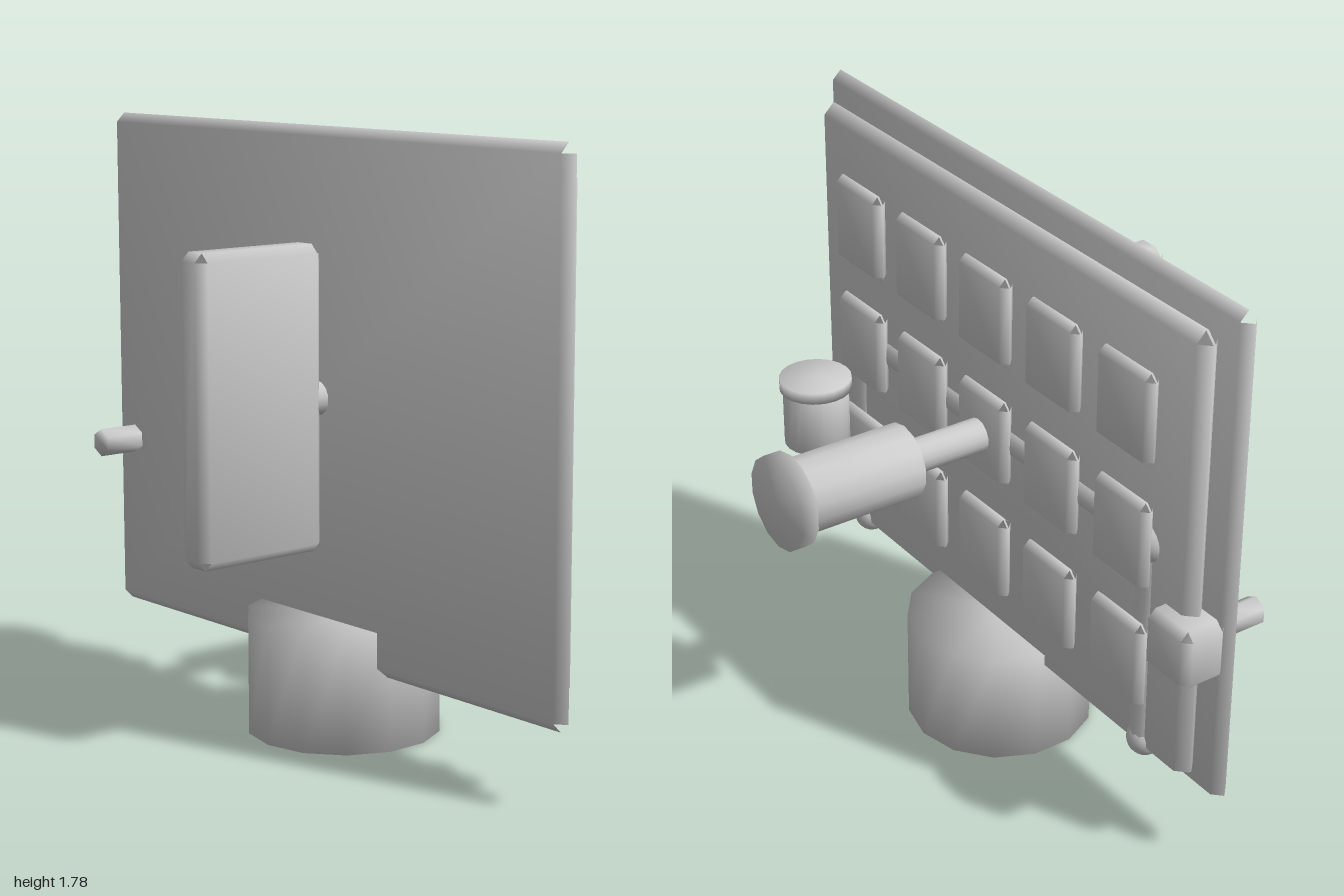
import * as THREE from 'three';
import { mergeVertices } from 'three/addons/utils/BufferGeometryUtils.js';

const material = new THREE.MeshStandardMaterial({ color: 0xcccccc });

// Box with chamfered edges and open corner tips, softly shaded across the chamfers
function chamferBox(w, h, d, r) {
  const half = [w / 2, h / 2, d / 2];
  const positions = [], normals = [], index = [];
  const id = (signs, axis) =>
    3 * ((signs[0] > 0 ? 1 : 0) + (signs[1] > 0 ? 2 : 0) + (signs[2] > 0 ? 4 : 0)) + axis;
  for (let corner = 0; corner < 8; corner++) {
    const s = [0, 1, 2].map(k => ((corner >> k) & 1 ? 1 : -1));
    for (let axis = 0; axis < 3; axis++) {
      positions.push(...s.map((v, k) => v * (k === axis ? half[k] : half[k] - r)));
      const n = new THREE.Vector3(...s.map((v, k) => v * (k === axis ? 2.41 : 0.71))).normalize();
      normals.push(n.x, n.y, n.z);
    }
  }
  const point = i => new THREE.Vector3().fromArray(positions, i * 3);
  // Add a quad, turned so it faces away from the centre
  const quad = (a, b, c, e) => {
    const normal = point(c).sub(point(a)).cross(point(e).sub(point(b)));
    const middle = point(a).add(point(b)).add(point(c)).add(point(e));
    if (normal.dot(middle) >= 0) index.push(a, b, c, a, c, e);
    else index.push(a, c, b, a, e, c);
  };
  const signed = (a, sa, b, sb, c, sc) => {
    const s = [0, 0, 0];
    s[a] = sa; s[b] = sb; s[c] = sc;
    return s;
  };
  for (let a = 0; a < 3; a++) {
    const b = (a + 1) % 3, c = (a + 2) % 3;
    for (const sa of [-1, 1]) {
      quad(...[[-1, -1], [1, -1], [1, 1], [-1, 1]].map(([sb, sc]) => id(signed(a, sa, b, sb, c, sc), a)));
      for (const sb of [-1, 1]) {
        const lo = signed(a, sa, b, sb, c, -1), hi = signed(a, sa, b, sb, c, 1);
        quad(id(lo, a), id(hi, a), id(hi, b), id(lo, b));
      }
    }
  }
  const geometry = new THREE.BufferGeometry();
  geometry.setAttribute('position', new THREE.Float32BufferAttribute(positions, 3));
  geometry.setAttribute('normal', new THREE.Float32BufferAttribute(normals, 3));
  geometry.setIndex(index);
  return geometry;
}

// Cylinder along an axis with shading shared between side and caps
function softCylinder(radius, length, sides, axis = 'y') {
  let g = new THREE.CylinderGeometry(radius, radius, length, sides);
  g.deleteAttribute('normal');
  g.deleteAttribute('uv');
  g = mergeVertices(g);
  g.computeVertexNormals();
  if (axis === 'z') g.rotateX(Math.PI / 2);
  if (axis === 'x') g.rotateZ(Math.PI / 2);
  return g;
}

export function createModel() {
  const model = new THREE.Group();
  model.name = 'panelAssembly';
  const add = (name, geometry, x, y, z) => {
    const mesh = new THREE.Mesh(geometry, material);
    mesh.name = name;
    mesh.position.set(x, y, z);
    model.add(mesh);
  };

  // Foot and the two stacked panels
  add('base', softCylinder(0.288, 0.355, 14), 0, 0.1775, 0.105);
  add('frontPanel', chamferBox(2, 1.556, 0.056, 0.028), 0, 1, 0.176);
  add('backPanel', chamferBox(1.86, 1.42, 0.07, 0.031), 0, 1, 0.105);
  add('lowerStrip', new THREE.BoxGeometry(1.24, 0.03, 0.02), 0, 0.27, 0.14);

  // Upright fin on the front
  add('fin', chamferBox(0.112, 0.89, 0.44, 0.026), 0, 1.005, 0.44);

  // Grid of raised pads on the back
  const pad = chamferBox(0.24, 0.28, 0.046, 0.02);
  for (let row = 0; row < 3; row++) {
    for (let col = -2; col <= 2; col++) {
      add('pad', pad, col * 0.33, 0.61 + row * 0.395, 0.045);
    }
  }

  // Half-sunk pipework: crossbar, down pipes and ball joints
  add('crossPipe', softCylinder(0.05, 1.46, 12, 'x'), 0, 1, 0.1);
  for (const side of [-1, 1]) {
    add('downPipe', softCylinder(0.047, 0.7, 12), side * 0.73, 0.65, 0.1);
    add('upperJoint', new THREE.SphereGeometry(0.07, 14, 10), side * 0.73, 1, 0.1);
    add('lowerJoint', new THREE.SphereGeometry(0.055, 14, 10), side * 0.73, 0.325, 0.1);
  }

  // Central shaft with barrel and end disc
  add('shaft', softCylinder(0.052, 0.48, 14, 'z'), 0, 1, 0);
  add('barrel', softCylinder(0.113, 0.355, 14, 'z'), 0, 1, -0.4125);
  add('endDisc', softCylinder(0.141, 0.052, 14, 'z'), 0, 1, -0.634);

  // Separate canister with lid
  add('canister', softCylinder(0.097, 0.18, 20), 0.31, 1.045, -0.34);
  add('canisterLid', softCylinder(0.106, 0.035, 20), 0.31, 1.148, -0.34);

  // Side housing with its front knob
  add('sideHousing', chamferBox(0.19, 0.19, 0.15, 0.025), -0.9, 0.755, 0.085);
  add('knob', softCylinder(0.043, 0.13, 6, 'z'), -0.89, 0.76, 0.278);

  return model;
}
